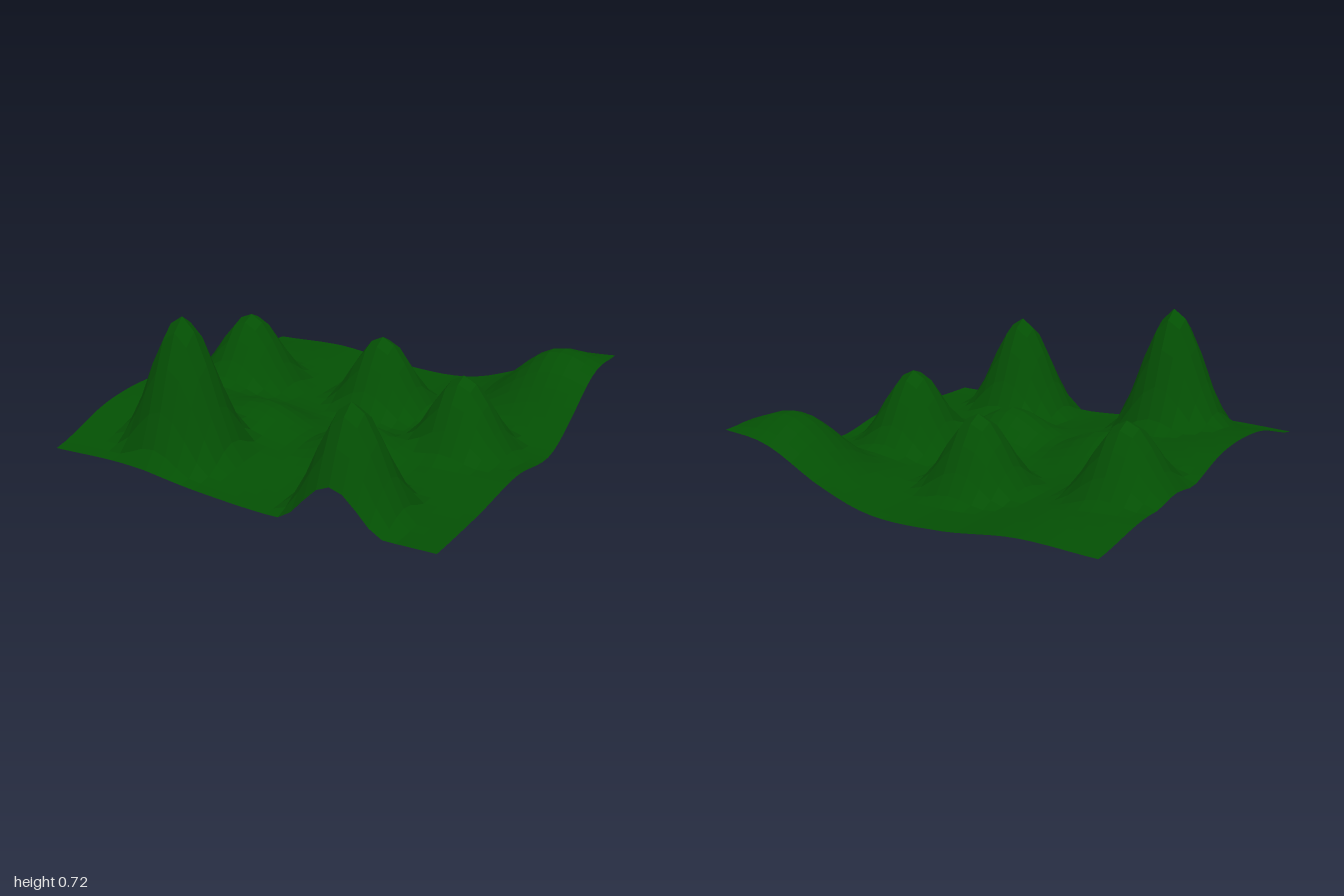
import * as THREE from 'three';

// Gentle ground heights on a coarse grid: rows run back to front, columns -x to +x
const ground = [
  [0.062, 0.072, 0.025, 0.03, 0.165, 0.285],
  [0.11, 0.08, 0.02, 0.02, 0.115, 0.21],
  [0.1, 0.075, 0.02, 0.005, 0.03, 0.03],
  [0.195, 0.145, 0.07, 0.055, 0.06, 0.065],
  [0.185, 0.14, 0.075, 0.02, 0.03, 0.03],
  [0.078, 0.08, 0.03, 0.0, 0.01, 0.012],
];

// Hills: x, z, summit height above the ground, foot radius
const hills = [
  [-0.484, 0.677, 0.605, 0.335],
  [0.484, 0.806, 0.51, 0.335],
  [-0.742, -0.29, 0.345, 0.33],
  [-0.032, -0.419, 0.375, 0.33],
  [0.613, -0.032, 0.37, 0.33],
  [0.742, -0.742, 0.155, 0.38],
  [0.226, 0.29, 0.14, 0.33],
  [-0.32, 0.2, 0.08, 0.32],
];

// Smooth curve through evenly spaced values, t from -1 to 1
function smooth(values, t) {
  const last = values.length - 1;
  const u = THREE.MathUtils.clamp((t + 1) / 2, 0, 1) * last;
  const i = Math.min(Math.floor(u), last - 1);
  const f = u - i;
  const at = (k) => values[THREE.MathUtils.clamp(k, 0, last)];
  const [a, b, c, d] = [at(i - 1), at(i), at(i + 1), at(i + 2)];
  return b + 0.5 * f * (c - a + f * (2 * a - 5 * b + 4 * c - d + f * (3 * (b - c) + d - a)));
}

function heightAt(x, z) {
  let y = smooth(ground.map((row) => smooth(row, x)), z);
  for (const [hx, hz, height, radius] of hills) {
    const r = Math.hypot(x - hx, z - hz) / radius;
    if (r < 1) y += height * Math.cos(r * Math.PI / 2) ** 2;
  }
  return Math.max(y, 0);
}

// Give the two triangles of each square one shared normal, so every square is a single facet
function facetSquares(indexed) {
  const geometry = indexed.toNonIndexed();
  geometry.computeVertexNormals();
  const normals = geometry.attributes.normal;
  const first = new THREE.Vector3(), second = new THREE.Vector3();
  for (let i = 0; i < normals.count; i += 6) {
    first.fromBufferAttribute(normals, i);
    second.fromBufferAttribute(normals, i + 3);
    first.add(second).normalize();
    for (let k = 0; k < 6; k++) normals.setXYZ(i + k, first.x, first.y, first.z);
  }
  return geometry;
}

export function createModel() {
  const model = new THREE.Group();
  model.name = 'hillyLandscape';

  const grass = new THREE.MeshStandardMaterial({ color: 0x044f04, side: THREE.DoubleSide });
  grass.name = 'grassGreen';

  // Square sheet of ground raised into hills
  const sheet = new THREE.PlaneGeometry(2, 2, 31, 31).rotateX(-Math.PI / 2);
  const p = sheet.attributes.position;
  for (let i = 0; i < p.count; i++) p.setY(i, heightAt(p.getX(i), p.getZ(i)));
  sheet.computeBoundingBox();
  sheet.translate(0, -sheet.boundingBox.min.y, 0);

  const terrain = new THREE.Mesh(facetSquares(sheet), grass);
  terrain.name = 'terrain';
  model.add(terrain);
  return model;
}
